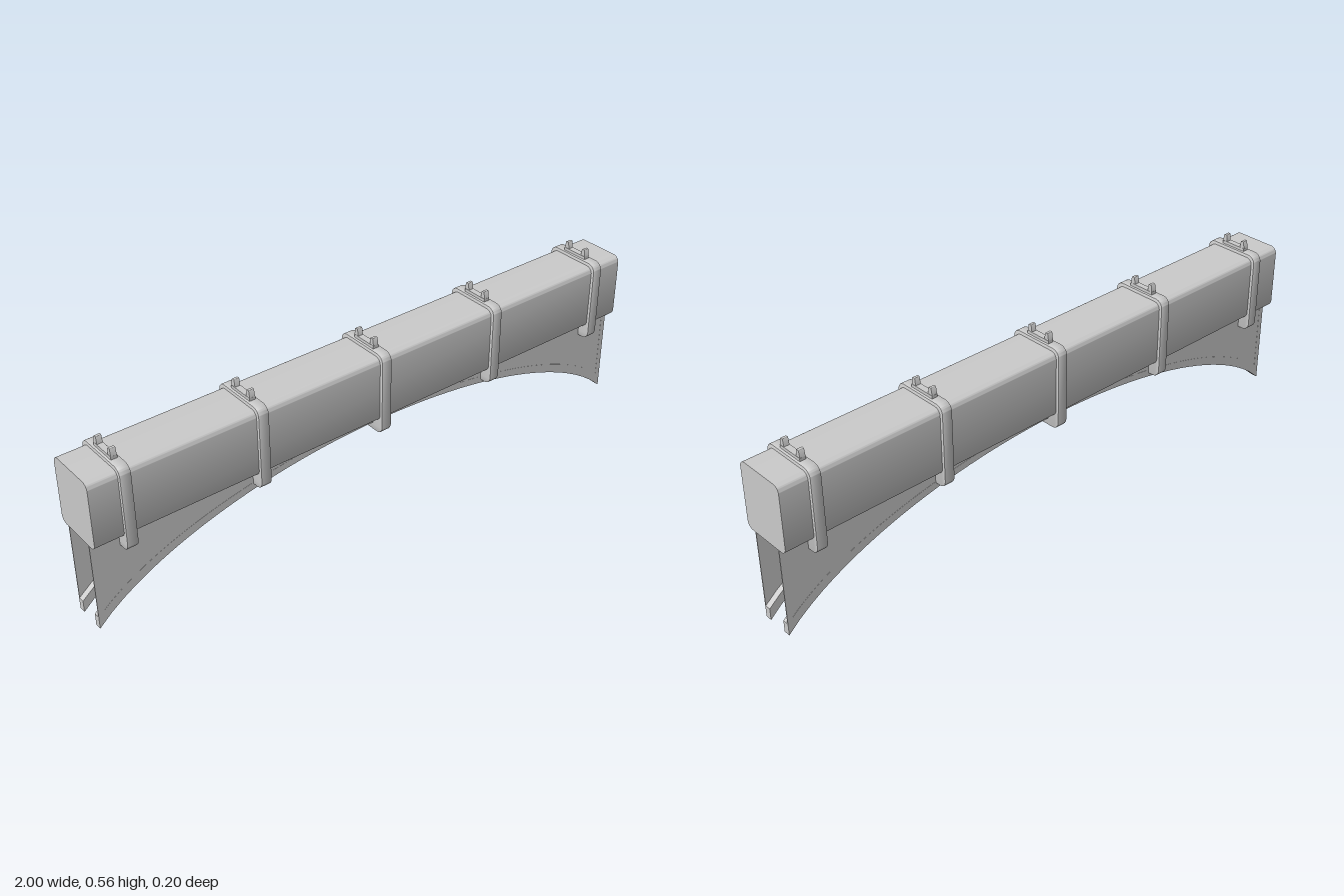
import * as THREE from 'three';
import { toCreasedNormals } from 'three/addons/utils/BufferGeometryUtils.js';

const grey = new THREE.MeshStandardMaterial({ color: 0xcccccc });

function add(parent, name, geometry) {
  const mesh = new THREE.Mesh(toCreasedNormals(geometry, 0.6), grey);
  mesh.name = name;
  parent.add(mesh);
  return mesh;
}

// Rounded rectangle in the z-y section, extruded along x and centred on x = 0
function roundedBar(halfWidth, bottom, top, r, length, bevel = 0) {
  const w = halfWidth - bevel, b = bottom + bevel, t = top - bevel;
  const s = new THREE.Shape();
  s.moveTo(-w + r, b);
  s.lineTo(w - r, b);
  s.absarc(w - r, b + r, r, -Math.PI / 2, 0);
  s.absarc(w - r, t - r, r, 0, Math.PI / 2);
  s.absarc(-w + r, t - r, r, Math.PI / 2, Math.PI);
  s.absarc(-w + r, b + r, r, Math.PI, Math.PI * 1.5);
  const depth = length - 2 * bevel;
  return new THREE.ExtrudeGeometry(s, {
    depth, curveSegments: 8, bevelEnabled: bevel > 0,
    bevelThickness: bevel, bevelSize: bevel, bevelSegments: 2,
  }).translate(0, 0, -depth / 2).rotateY(Math.PI / 2);
}

// Underside of the arch: a flattened elliptical curve
const archY = (x) => Math.max(0, 0.277 - 0.46 * (1 - Math.sqrt(1 - (x / 1.09) ** 2)));
const flangeTop = (x) => archY(x) + 0.02 + 0.02 * x * x;

// Plate between two curves, running from z0 to z1
function curvedPlate(lower, upper, z0, z1, halfLength = 1) {
  const n = 48, pts = [];
  for (let i = 0; i <= n; i++) {
    const x = halfLength * (-1 + (2 * i) / n);
    pts.push(new THREE.Vector2(x, lower(x)));
  }
  for (let i = n; i >= 0; i--) {
    const x = halfLength * (-1 + (2 * i) / n);
    pts.push(new THREE.Vector2(x, upper(x)));
  }
  return new THREE.ExtrudeGeometry(new THREE.Shape(pts), { depth: z1 - z0, bevelEnabled: false })
    .translate(0, 0, z0);
}

// Tapered prong with a slightly narrower tip
function prong() {
  const s = new THREE.Shape();
  s.moveTo(-0.009, 0);
  s.lineTo(0.009, 0);
  s.lineTo(0.006, 0.021);
  s.quadraticCurveTo(0.0055, 0.025, 0.003, 0.025);
  s.lineTo(-0.003, 0.025);
  s.quadraticCurveTo(-0.0055, 0.025, -0.006, 0.021);
  return new THREE.ExtrudeGeometry(s, { depth: 0.018, bevelEnabled: false })
    .translate(0, 0, -0.009).rotateY(Math.PI / 2);
}

export function createModel() {
  const model = new THREE.Group();
  model.name = 'archedBeam';

  add(model, 'beam', roundedBar(0.088, 0.297, 0.519, 0.022, 2));

  // Pair of arched side plates: thin web, wide lower flange, end trims
  for (const side of [1, -1]) {
    const plate = new THREE.Group();
    plate.name = side > 0 ? 'frontArch' : 'backArch';
    const span = (a, b) => (side > 0 ? [a, b] : [-b, -a]);
    add(plate, 'archFlange', curvedPlate(archY, flangeTop, ...span(0.033, 0.055)));
    add(plate, 'archWeb', curvedPlate((x) => archY(x) + 0.01, () => 0.31, ...span(0.052, 0.0545), 0.999));
    for (const end of [1, -1]) {
      add(plate, 'endTrim', new THREE.BoxGeometry(0.018, 0.28, 0.003))
        .position.set(end * 0.991, 0.17, side * 0.0535);
    }
    model.add(plate);
  }

  // Straps around the beam, each with a two-pronged lug on top
  for (let i = -2; i <= 2; i++) {
    const strap = new THREE.Group();
    strap.name = 'strap';
    strap.position.x = i * 0.445;
    add(strap, 'strapBand', roundedBar(0.098, 0.252, 0.53, 0.024, 0.036, 0.003));
    add(strap, 'lugBase', new THREE.BoxGeometry(0.02, 0.014, 0.09)).position.y = 0.533;
    for (const side of [1, -1]) {
      add(strap, 'lugProng', prong()).position.set(0, 0.538, side * 0.036);
    }
    model.add(strap);
  }
  return model;
}
